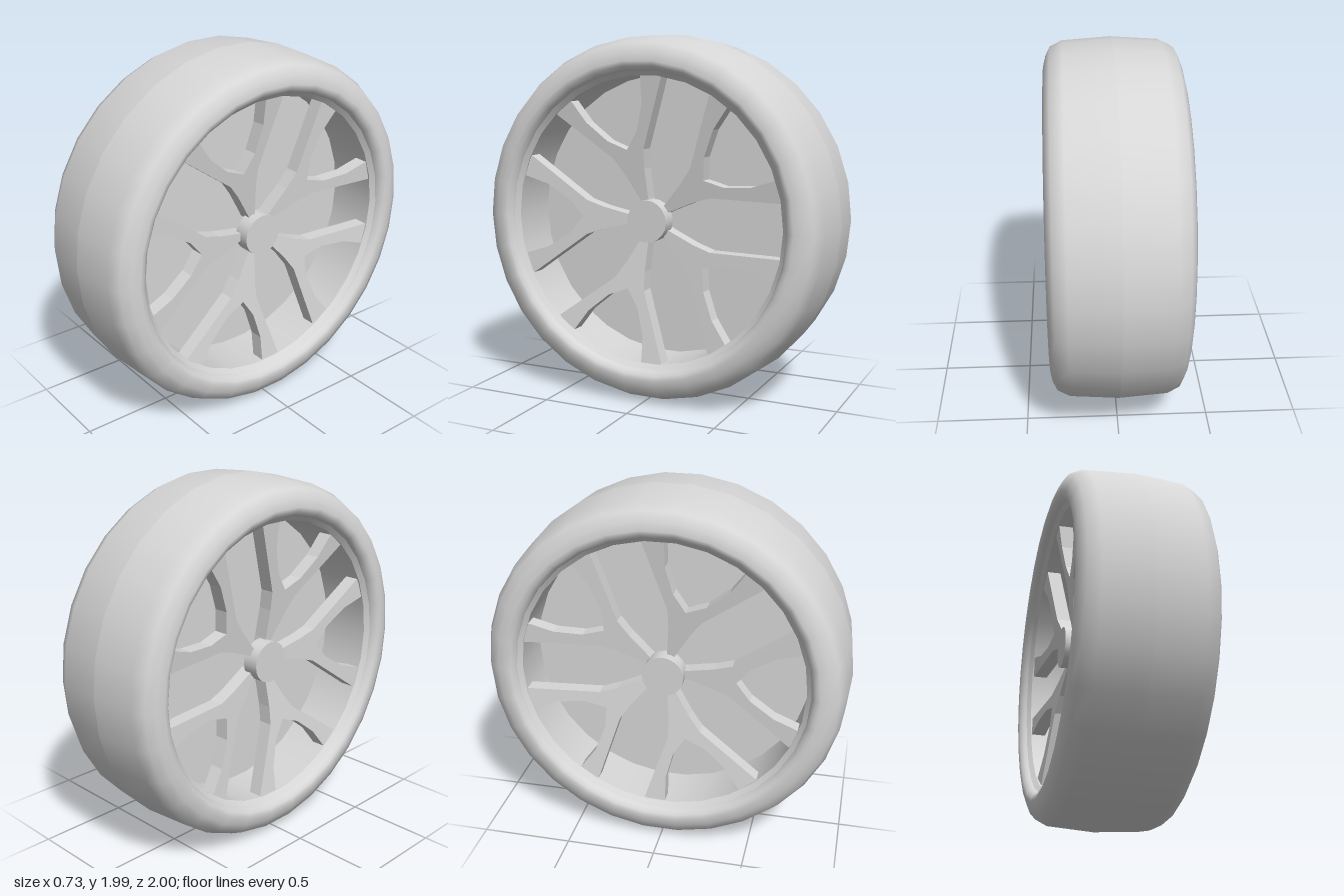
import * as THREE from 'three';

const CENTER_Y = 0.995;
const SIDES = 30;

// Revolves [radius, x] points around the axle (x axis).
function revolve(points, name, material) {
  const geo = new THREE.LatheGeometry(points.map(([r, x]) => new THREE.Vector2(r, x)), SIDES);
  geo.rotateZ(-Math.PI / 2);
  const mesh = new THREE.Mesh(geo, material);
  mesh.name = name;
  return mesh;
}

// One Y-shaped spoke along +x of its shape plane, leaning outwards from hub to rim.
function spokeGeometry(angle) {
  const half = [[0.09, -0.018], [0.119, -0.023], [0.277, -0.061], [0.376, -0.095],
    [0.709, -0.339], [0.75, -0.223], [0.61, -0.178], [0.478, -0.094]];
  const outline = [...half, [0.4, 0], ...half.map(([u, v]) => [u, -v]).reverse()];
  const shape = new THREE.Shape(outline.map(([u, v]) => new THREE.Vector2(u, v)));
  const depth = 0.08;
  const geo = new THREE.ExtrudeGeometry(shape, { depth, bevelEnabled: false });
  const pos = geo.attributes.position;
  for (let i = 0; i < pos.count; i++) {
    pos.setZ(i, pos.getZ(i) - depth + 0.19 + 0.135 * pos.getX(i));
  }
  geo.computeVertexNormals();
  geo.rotateZ(angle);
  geo.rotateY(Math.PI / 2);
  return geo;
}

// One half of the wheel, facing +x.
function wheelHalf(material) {
  const half = new THREE.Group();

  half.add(revolve([[1, 0], [0.982, 0.26], [0.95, 0.327], [0.9, 0.352], [0.855, 0.363],
    [0.83, 0.356], [0.812, 0.338], [0.805, 0.318]], 'tyre', material));
  half.add(revolve([[0.805, 0.318], [0.78, 0.295]], 'rimLip', material));
  half.add(revolve([[0.78, 0.295], [0.785, 0]], 'rimBarrel', material));

  // Plate closing the barrel in the middle
  const plate = new THREE.Mesh(new THREE.CircleGeometry(0.785, SIDES), material);
  plate.rotation.y = Math.PI / 2;
  plate.name = 'centrePlate';
  half.add(plate);

  // Hub cap
  const hubGeo = new THREE.CylinderGeometry(0.115, 0.115, 0.09, 20);
  hubGeo.rotateZ(-Math.PI / 2);
  const hub = new THREE.Mesh(hubGeo, material);
  hub.position.x = 0.213;
  hub.name = 'hubCap';
  half.add(hub);

  // Five forked spokes
  for (let i = 0; i < 5; i++) {
    const spoke = new THREE.Mesh(spokeGeometry(Math.PI / 5 + i * Math.PI * 2 / 5), material);
    spoke.name = 'spoke' + (i + 1);
    half.add(spoke);
  }
  return half;
}

export function createModel() {
  const grey = new THREE.MeshStandardMaterial({ color: 0xd6d6d6, side: THREE.DoubleSide });
  grey.name = 'lightGrey';

  const model = new THREE.Group();
  model.name = 'wheel';
  const left = wheelHalf(grey);
  left.name = 'leftHalf';
  // The spoke pattern is symmetric in y, so a half turn about z mirrors it in x.
  const right = wheelHalf(grey);
  right.name = 'rightHalf';
  right.rotation.z = Math.PI;
  for (const half of [left, right]) {
    half.position.y = CENTER_Y;
    model.add(half);
  }
  return model;
}
